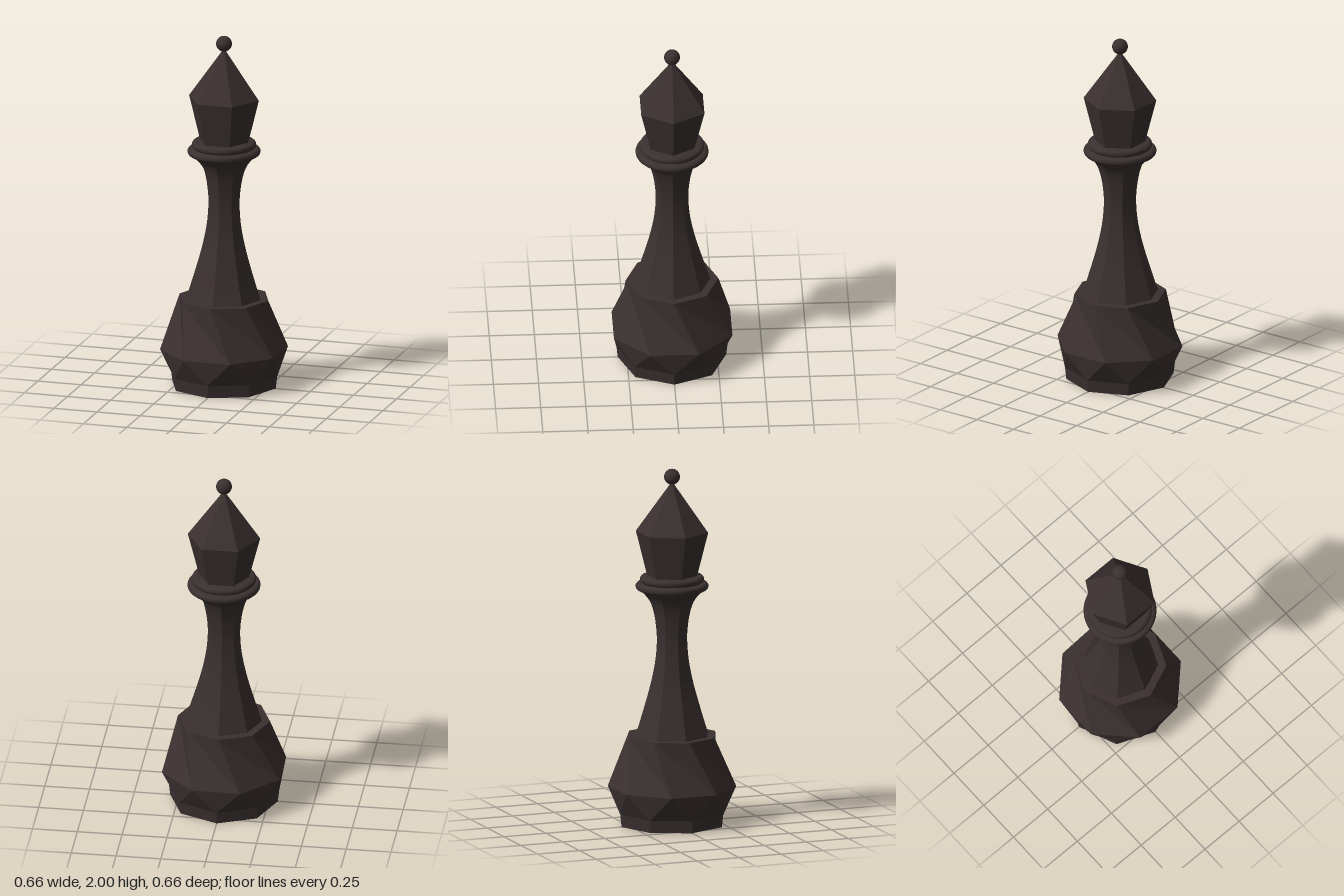
import * as THREE from 'three';
import { toCreasedNormals } from 'three/addons/utils/BufferGeometryUtils.js';

// Turned part with a chosen number of sides; edges sharper than 0.5 rad stay crisp
function turned(points, sides, start = 0) {
  const profile = points.map(([r, y]) => new THREE.Vector2(r, y));
  return toCreasedNormals(new THREE.LatheGeometry(profile, sides, start), 0.5);
}

// Faceted solid from octagonal rings [radius, height, rotation in degrees], bottom to top
function facetedRings(rings, sides) {
  const pos = [];
  const point = ([r, y, turn], i) => {
    const a = THREE.MathUtils.degToRad(turn) + ((i % sides) / sides) * Math.PI * 2;
    return [r * Math.cos(a), y, r * Math.sin(a)];
  };
  for (let k = 0; k < rings.length - 1; k++) {
    const lo = rings[k], up = rings[k + 1];
    for (let i = 0; i < sides; i++) {
      pos.push(...point(lo, i + 1), ...point(lo, i), ...point(up, i));
      pos.push(...point(lo, i + 1), ...point(up, i), ...point(up, i + 1));
    }
  }
  // End caps
  const first = rings[0], last = rings[rings.length - 1];
  for (let i = 0; i < sides; i++) {
    pos.push(0, first[1], 0, ...point(first, i), ...point(first, i + 1));
    pos.push(0, last[1], 0, ...point(last, i + 1), ...point(last, i));
  }
  const g = new THREE.BufferGeometry();
  g.setAttribute('position', new THREE.Float32BufferAttribute(pos, 3));
  g.computeVertexNormals();
  return g;
}

export function createModel() {
  const group = new THREE.Group();
  const darkWood = new THREE.MeshStandardMaterial({ color: 0x3a3030 });
  darkWood.name = 'darkWood';

  const add = (name, geometry, y = 0) => {
    const mesh = new THREE.Mesh(geometry, darkWood);
    mesh.name = name;
    mesh.position.y = y;
    group.add(mesh);
  };

  // Twisted octagonal base: the top ring is turned past the widest ring
  add('base', facetedRings([
    [0.3, 0, 0],
    [0.308, 0.07, 0],
    [0.355, 0.21, 22.5],
    [0.257, 0.5, 90],
  ], 8));

  // Eight-sided shaft with a smooth waist
  const waist = new THREE.SplineCurve([
    [0.215, 0.49], [0.174, 0.62], [0.13, 0.77], [0.102, 0.9], [0.091, 1.01],
    [0.093, 1.1], [0.109, 1.2], [0.136, 1.27], [0.185, 1.325],
  ].map(([r, y]) => new THREE.Vector2(r, y)));
  add('shaft', turned(waist.getPoints(32).map((p) => [p.x, p.y]), 8));

  // Two rounded collar rings, closed to the axis
  const collar = (radius, half) => {
    const pts = [[0, -half]];
    for (let i = 0; i <= 10; i++) {
      const a = -Math.PI / 2 + (i / 10) * Math.PI;
      pts.push([radius - half + half * Math.cos(a), half * Math.sin(a)]);
    }
    pts.push([0, half]);
    return turned(pts, 48);
  };
  add('lowerCollar', collar(0.202, 0.021), 1.34);
  add('upperCollar', collar(0.178, 0.02), 1.379);

  // Six-sided pointed head
  add('head', turned([[0, 1.39], [0.138, 1.39], [0.202, 1.645], [0, 1.93]], 6, Math.PI / 2));

  // Ball finial
  add('finial', new THREE.SphereGeometry(0.044, 32, 20), 1.956);

  return group;
}
